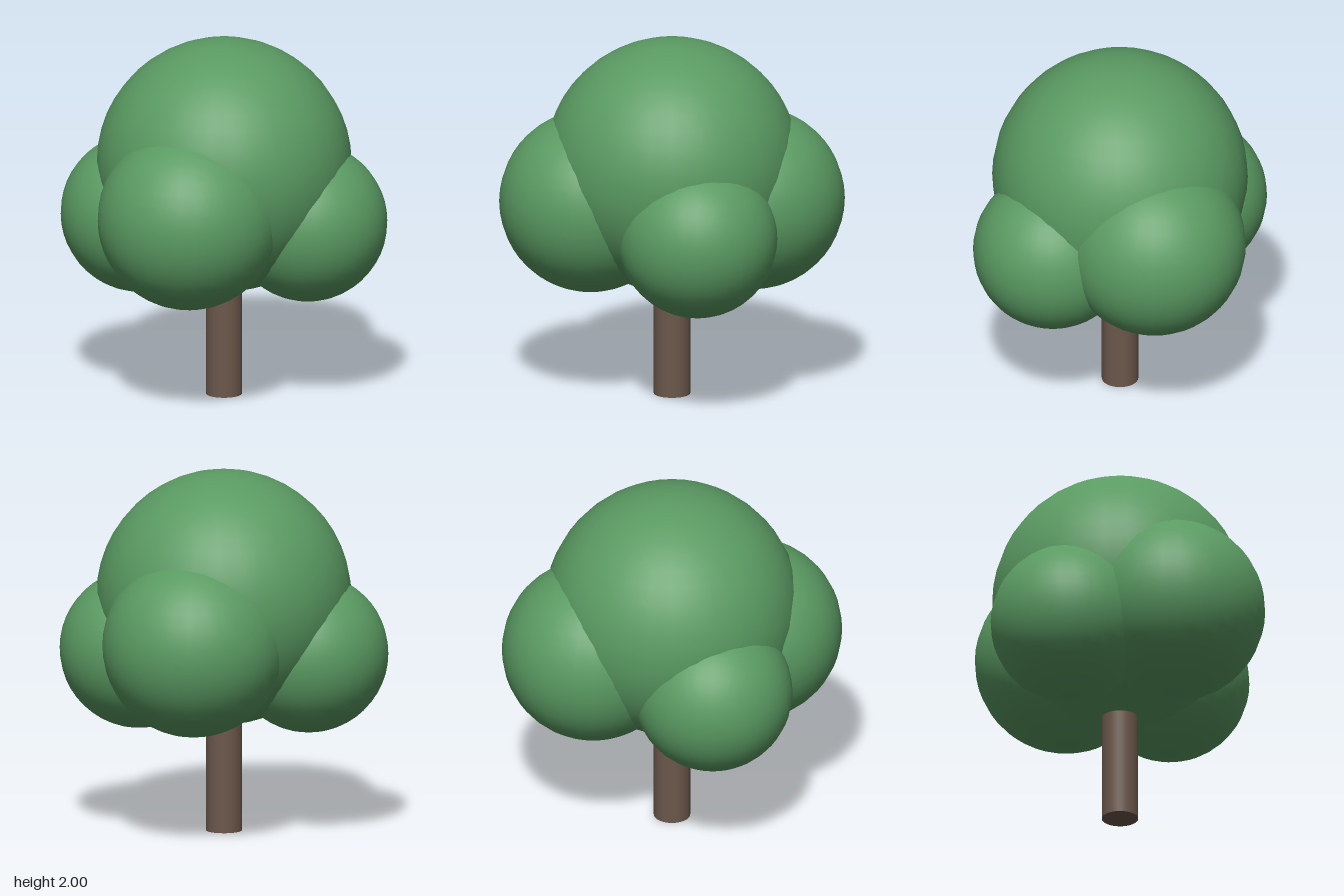
import * as THREE from 'three';

export function createModel() {
  const tree = new THREE.Group();
  tree.name = 'tree';
  const bark = new THREE.MeshStandardMaterial({ color: 0x6b574b });
  const leaves = new THREE.MeshStandardMaterial({ color: 0x5a9a62 });

  // Trunk, its top buried in the crown
  const trunkHeight = 0.8;
  const trunk = new THREE.Mesh(new THREE.CylinderGeometry(0.1, 0.1, trunkHeight, 32), bark);
  trunk.name = 'trunk';
  trunk.position.y = trunkHeight / 2;
  tree.add(trunk);

  const addFoliage = (name, radius, x, y, z) => {
    const ball = new THREE.Mesh(new THREE.SphereGeometry(radius, 32, 24), leaves);
    ball.name = name;
    ball.position.set(x, y, z);
    tree.add(ball);
  };

  // Large central crown
  addFoliage('crown', 0.7, 0, 1.3, 0);

  // Two pairs of side clumps, each pair turned half way round the trunk
  for (const [side, s] of [['front', 1], ['back', -1]]) {
    addFoliage(side + 'LargeClump', 0.5, -0.4 * s, 1.1, 0.2 * s);
    addFoliage(side + 'SmallClump', 0.437, 0.3 * s, 1.0, 0.36 * s);
  }

  return tree;
}
